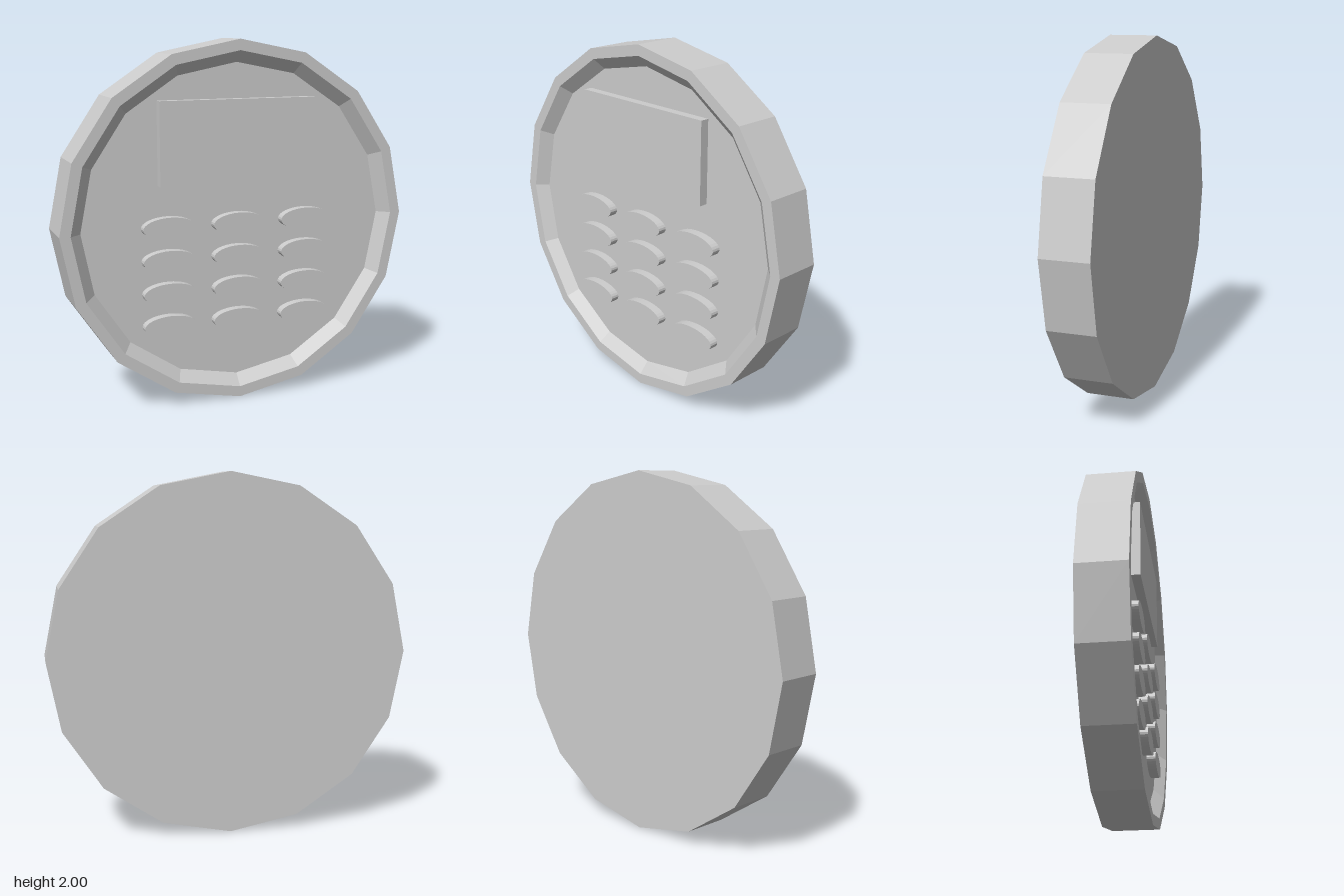
import * as THREE from 'three';

const HALF = 0.133;   // half thickness of the disc
const FLOOR = 0.076;  // z of the recessed face
const RAISED = 0.126; // z of the fronts of screen and buttons
const SINK = 0.01;    // overlap of raised parts into the face

export function createModel() {
  const model = new THREE.Group();
  model.name = 'roundKeypad';
  const grey = new THREE.MeshStandardMaterial({ color: 0xcccccc, flatShading: true });
  grey.name = 'plain grey';

  const add = (name, geometry, x, y, z) => {
    const mesh = new THREE.Mesh(geometry, grey);
    mesh.name = name;
    mesh.position.set(x, y, z);
    model.add(mesh);
  };

  // Sixteen-sided casing: back, side, rim, bevel and recessed face in one profile
  const profile = [
    [0, -HALF], [1, -HALF], [1, HALF], [0.94, HALF], [0.877, FLOOR], [0, FLOOR],
  ].map(([r, h]) => new THREE.Vector2(r, h));
  const casing = new THREE.LatheGeometry(profile, 16).rotateX(Math.PI / 2);
  add('casing', casing, 0, 1, 0);

  // Raised parts stand on the recessed face
  const depth = RAISED - FLOOR + SINK;
  const middle = RAISED - depth / 2;
  add('screen', new THREE.BoxGeometry(0.904, 0.454, depth), 0, 1.456, middle);

  // Oval buttons in four rows of three
  const oval = new THREE.CylinderGeometry(1, 1, depth, 32)
    .rotateX(Math.PI / 2)
    .scale(0.15, 0.06, 1);
  for (let row = 0; row < 4; row++) {
    for (let col = 0; col < 3; col++) {
      add(`button${row * 3 + col + 1}`, oval, (col - 1) * 0.4, 1.003 - row * 0.182, middle);
    }
  }
  return model;
}
